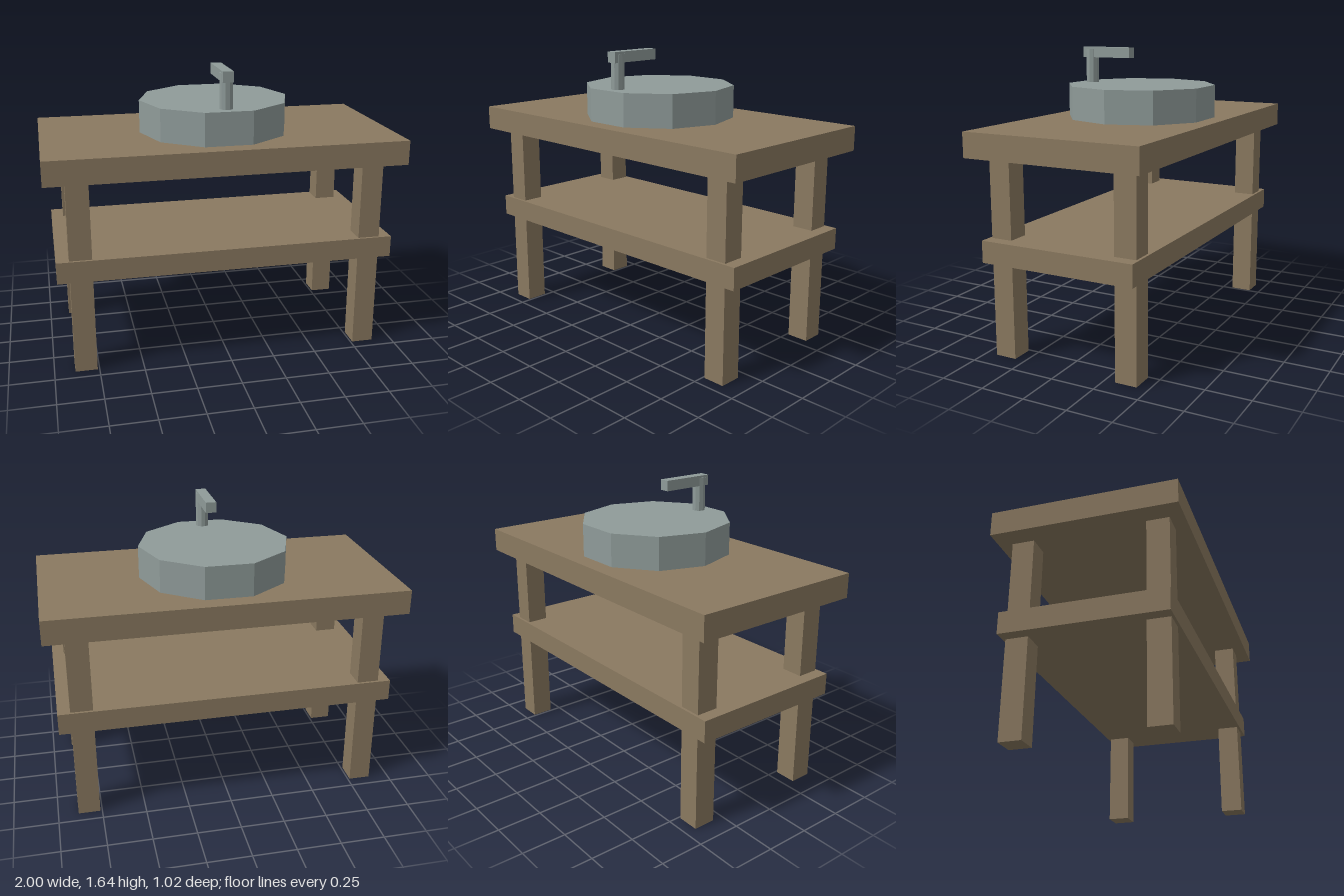
import * as THREE from 'three';

export function createModel() {
  const model = new THREE.Group();
  model.name = 'washstand';

  const wood = new THREE.MeshStandardMaterial({ color: 0x8a7960 });
  wood.name = 'brown wood';
  const ceramic = new THREE.MeshStandardMaterial({ color: 0x8f9b99 });
  ceramic.name = 'grey ceramic';

  const add = (name, geometry, material, x, y, z) => {
    const mesh = new THREE.Mesh(geometry, material);
    mesh.name = name;
    mesh.position.set(x, y, z);
    model.add(mesh);
  };

  // Box placed by its bottom height
  const box = (name, material, w, h, d, x, bottom, z) =>
    add(name, new THREE.BoxGeometry(w, h, d), material, x, bottom + h / 2, z);

  // Ten-sided faceted drum with corners on the x axis
  const drum = (name, radius, bottom, top, z) => {
    const geometry = new THREE.CylinderGeometry(radius, radius, top - bottom, 10)
      .rotateY(Math.PI / 10)
      .toNonIndexed();
    geometry.computeVertexNormals();
    add(name, geometry, ceramic, 0, (bottom + top) / 2, z);
  };

  // Table: top, lower shelf and four square legs
  box('tabletop', wood, 2, 0.138, 1.022, 0, 1.112, 0);
  box('shelf', wood, 1.91, 0.122, 0.9, 0, 0.546, 0);
  for (const [side, sx] of [['left', 1], ['right', -1]]) {
    for (const [end, sz] of [['Front', 1], ['Back', -1]]) {
      box(`${side}${end}Leg`, wood, 0.124, 1.112, 0.124, sx * 0.823, 0, sz * 0.373);
    }
  }

  // Basin and tap
  drum('basin', 0.432, 1.25, 1.437, 0);
  drum('tapColumn', 0.038, 1.437, 1.632, 0.327);
  box('tapSpout', ceramic, 0.06, 0.06, 0.31, 0, 1.585, 0.217);

  return model;
}
